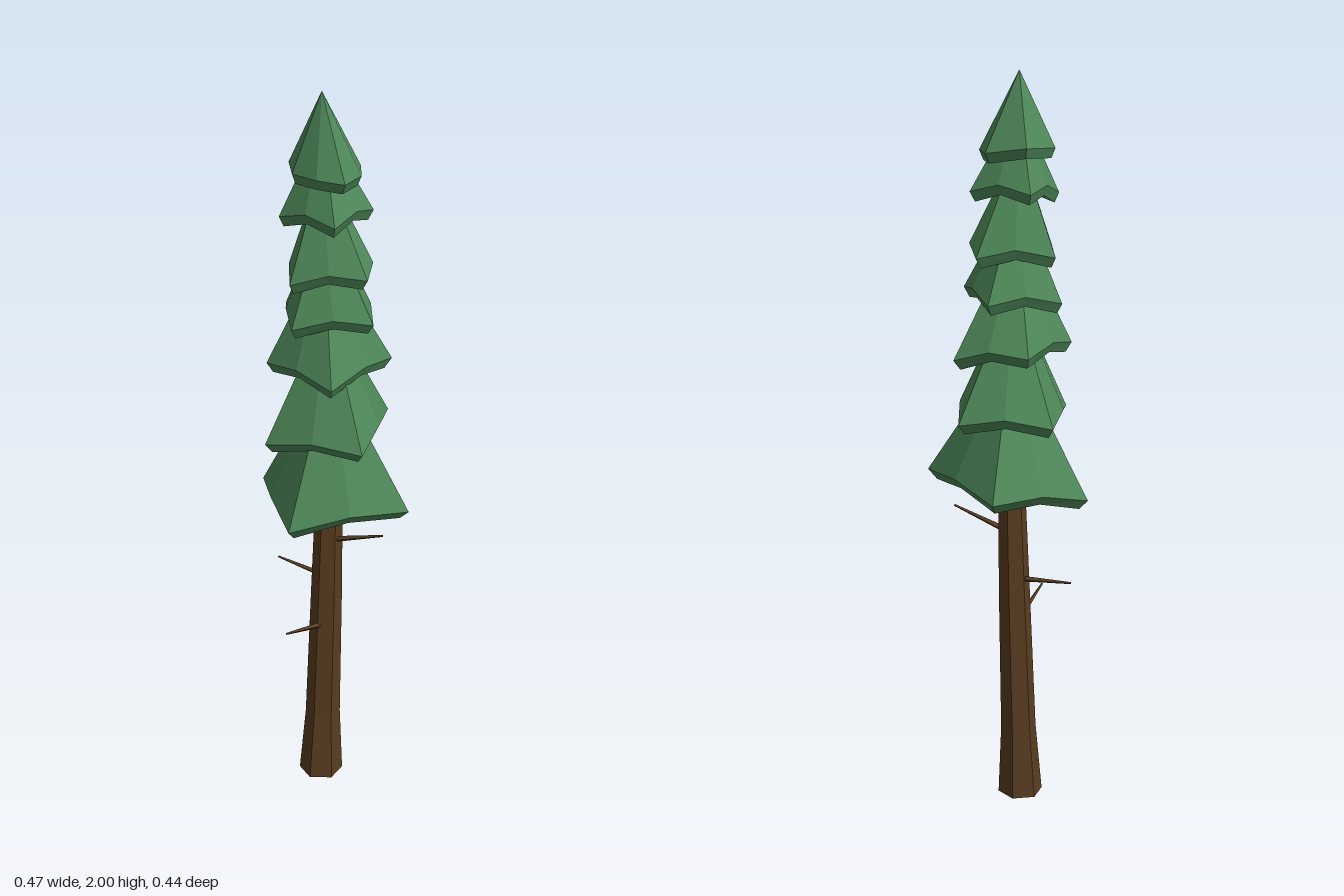
import * as THREE from 'three';

const needles = new THREE.MeshStandardMaterial({ color: 0x4e8859, flatShading: true });
needles.name = 'needle green';
const bark = new THREE.MeshStandardMaterial({ color: 0x593d20, flatShading: true });
bark.name = 'bark brown';

// Hollow bough tier: outer cone, turned-in rim and inner cone.
// rim: [x, y, z] points running from +x towards +z
function tierGeometry(apex, rim) {
  const [ax, ay, az] = apex;
  const lip = rim.map(([x, y, z]) => [ax + (x - ax) * 0.89, y - 0.026, az + (z - az) * 0.89]);
  const inner = [ax, ay - 0.09, az];
  const pos = [];
  rim.forEach((p, i) => {
    const j = (i + 1) % rim.length;
    pos.push(...apex, ...rim[j], ...p);
    pos.push(...p, ...rim[j], ...lip[j], ...p, ...lip[j], ...lip[i]);
    pos.push(...inner, ...lip[i], ...lip[j]);
  });
  const g = new THREE.BufferGeometry();
  g.setAttribute('position', new THREE.Float32BufferAttribute(pos, 3));
  g.computeVertexNormals();
  return g;
}

// Four drooping corners with a raised point between each pair
function squareRim(cx, cz, corners) {
  const rim = [];
  corners.forEach(([x, y, z], i) => {
    const [nx, ny, nz] = corners[(i + 1) % corners.length];
    rim.push([x, y, z]);
    rim.push([cx + ((x + nx) / 2 - cx) * 1.08, (y + ny) / 2 + 0.022, cz + ((z + nz) / 2 - cz) * 1.08]);
  });
  return rim;
}

// Tapered tube through rings [x, y, z, radius], closed at both ends
function stackedRings(rings, sides) {
  const pos = [];
  const ring = ([x, y, z, r]) => Array.from({ length: sides }, (_, i) => {
    const a = (i / sides) * Math.PI * 2 + Math.PI / 2;
    return [x + Math.cos(a) * r, y, z + Math.sin(a) * r];
  });
  const loops = rings.map(ring);
  const first = rings[0].slice(0, 3), last = rings[rings.length - 1].slice(0, 3);
  for (let i = 0; i < sides; i++) {
    const j = (i + 1) % sides;
    for (let k = 0; k < loops.length - 1; k++) {
      const a = loops[k], b = loops[k + 1];
      pos.push(...a[i], ...b[i], ...b[j], ...a[i], ...b[j], ...a[j]);
    }
    pos.push(...first, ...loops[0][i], ...loops[0][j]);
    pos.push(...last, ...loops[loops.length - 1][j], ...loops[loops.length - 1][i]);
  }
  const g = new THREE.BufferGeometry();
  g.setAttribute('position', new THREE.Float32BufferAttribute(pos, 3));
  g.computeVertexNormals();
  return g;
}

export function createModel() {
  const tree = new THREE.Group();
  tree.name = 'pineTree';
  const add = (name, geometry, material) => {
    const m = new THREE.Mesh(geometry, material);
    m.name = name;
    tree.add(m);
    return m;
  };

  // Leaning six-sided trunk with a flared foot
  add('trunk', stackedRings([
    [-0.037, 0, 0.017, 0.062],
    [-0.033, 0.2, 0.012, 0.049],
    [-0.022, 0.6, 0.008, 0.043],
    [-0.015, 0.9, 0.005, 0.037],
    [-0.02, 1.2, 0, 0.02],
  ], 6), bark);

  // Bare dead twigs
  const twigs = [
    [[0.0, 0.775, 0.01], [0.155, 0.83, 0.012]],
    [[-0.03, 0.645, 0.0], [-0.19, 0.655, -0.01]],
    [[-0.022, 0.505, 0.03], [-0.037, 0.56, 0.195]],
  ];
  twigs.forEach(([a, b], i) => {
    const from = new THREE.Vector3(...a), to = new THREE.Vector3(...b);
    const dir = to.clone().sub(from);
    const twig = add(`twig${i + 1}`, new THREE.CylinderGeometry(0.003, 0.009, dir.length(), 4), bark);
    twig.position.copy(from).add(to).multiplyScalar(0.5);
    twig.quaternion.setFromUnitVectors(new THREE.Vector3(0, 1, 0), dir.normalize());
  });

  // Bough tiers from the bottom up: apex, then corners
  const tiers = [
    [[-0.015, 1.29, 0], [[0.233, 0.925, 0.014], [-0.012, 0.89, 0.218], [-0.235, 0.893, -0.01], [-0.047, 0.92, -0.223]]],
    [[-0.02, 1.45, 0], [[0.158, 1.12, 0.132], [-0.113, 1.1, 0.166], [-0.169, 1.105, -0.105], [0.067, 1.11, -0.171]]],
    [[-0.03, 1.6, 0], [[0.075, 1.285, 0.145], [-0.152, 1.295, 0.09], [-0.11, 1.29, -0.13], [0.09, 1.275, -0.145]]],
    [[-0.03, 1.7, 0], [[0.13, 1.435, 0.03], [-0.05, 1.42, 0.13], [-0.165, 1.42, -0.03], [-0.01, 1.425, -0.157]]],
    [[-0.035, 1.82, 0], [[0.112, 1.55, 0.03], [-0.06, 1.535, 0.12], [-0.153, 1.54, -0.05], [0.03, 1.54, -0.135]]],
    [[-0.035, 1.92, 0], [[0.05, 1.69, 0.085], [-0.12, 1.69, 0.07], [-0.1, 1.7, -0.09], [0.072, 1.7, -0.07]]],
  ];
  tiers.forEach(([apex, corners], i) => {
    add(`boughTier${i + 1}`, tierGeometry(apex, squareRim(apex[0], apex[2], corners)), needles);
  });

  // Pointed crown
  add('crown', tierGeometry([-0.036, 2, 0], [
    [0.067, 1.8, -0.016], [0.07, 1.8, 0.07], [0, 1.805, 0.087], [-0.08, 1.805, 0.07],
    [-0.133, 1.81, 0], [-0.09, 1.815, -0.095], [0.02, 1.8, -0.095],
  ]), needles);

  return tree;
}
